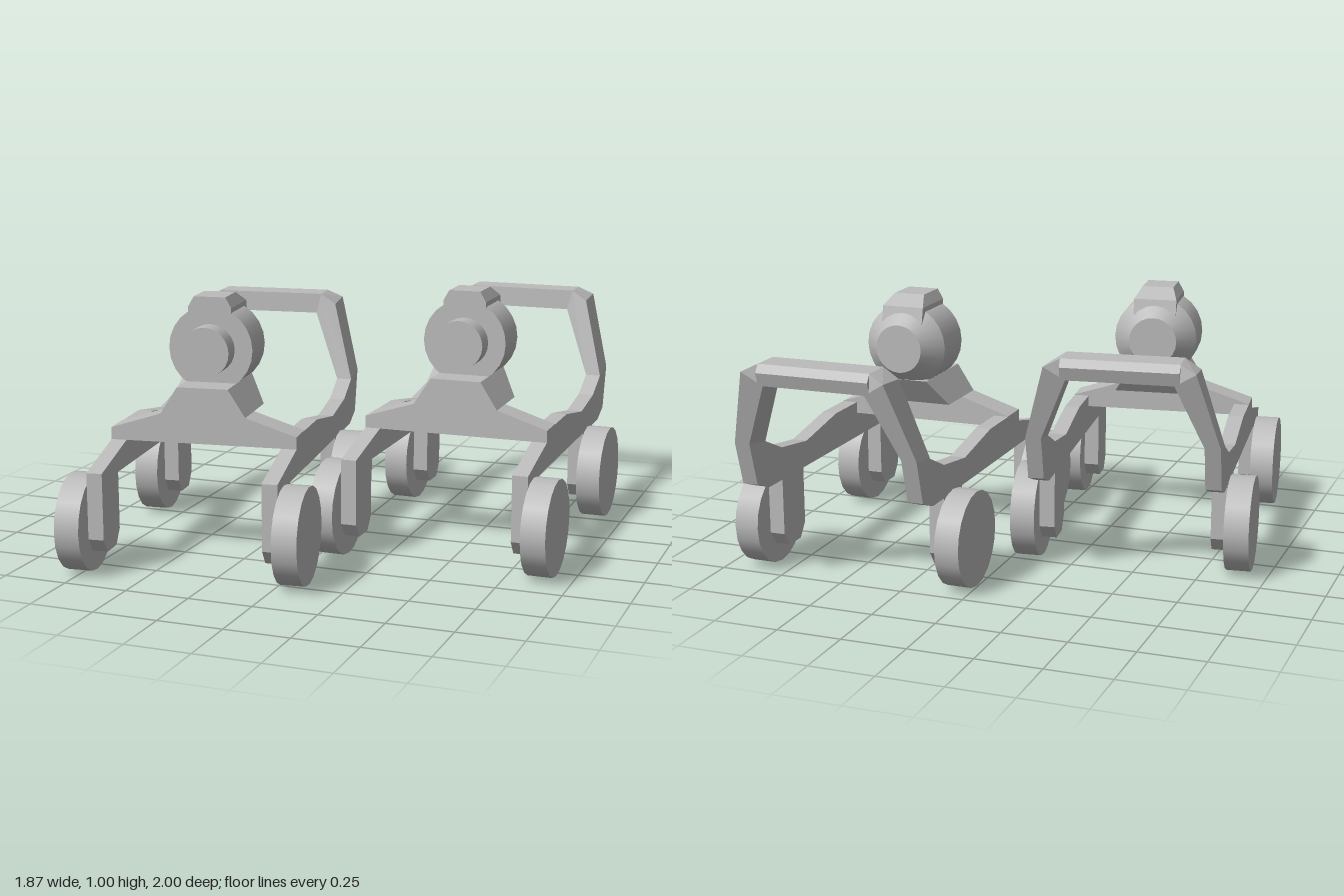
import * as THREE from 'three';
import { ConvexGeometry } from 'three/addons/geometries/ConvexGeometry.js';

const grey = new THREE.MeshStandardMaterial({ color: 0xbbbbbb });
grey.name = 'plain grey';

function add(parent, name, geometry) {
  const mesh = new THREE.Mesh(geometry, grey);
  mesh.name = name;
  parent.add(mesh);
  return mesh;
}

function extrude(points, depth) {
  const shape = new THREE.Shape(points.map(p => new THREE.Vector2(p[0], p[1])));
  return new THREE.ExtrudeGeometry(shape, { depth, bevelEnabled: false });
}

const hull = points => new ConvexGeometry(points.map(p => new THREE.Vector3(...p)));

// Round part along z, between two depths and radii
function barrel(zBack, zFront, rBack, rFront) {
  return new THREE.CylinderGeometry(rFront, rBack, zFront - zBack, 24)
    .rotateX(Math.PI / 2).translate(0, 0.805, (zBack + zFront) / 2);
}

// Side outline as [z, y]: rail, hanging wheel legs and start of the rear upright
const railOutline = [
  [0.37, 0.395], [0.10, 0.46], [0.10, 0.505], [-0.21, 0.505], [-0.47, 0.46],
  [-0.67, 0.487], [-0.795, 0.545], [-0.915, 0.565], [-0.866, 0.395], [-0.775, 0.36],
  [-0.675, 0.36], [-0.675, 0.14], [-0.635, 0.085], [-0.545, 0.085], [-0.505, 0.14],
  [-0.505, 0.36], [0.20, 0.36], [0.20, 0.14], [0.24, 0.085], [0.33, 0.085], [0.37, 0.14],
];

function buildCart(name) {
  const cart = new THREE.Group();
  cart.name = name;

  for (const [side, s] of [['left', 1], ['right', -1]]) {
    // Rail with legs
    add(cart, side + 'Rail', extrude(railOutline, 0.06)
      .rotateY(-Math.PI / 2).translate(s > 0 ? 0.365 : -0.305, 0, 0));

    // Upright leaning back and inward
    const upright = [];
    for (const x of [0.305, 0.365]) upright.push([s * x, 0.545, -0.795], [s * x, 0.565, -0.915]);
    upright.push(
      [s * 0.20, 0.81, -0.86], [s * 0.20, 0.81, -0.985],
      [s * 0.28, 0.85, -0.865], [s * 0.28, 0.86, -1.0],
      [s * 0.22, 0.89, -0.865], [s * 0.22, 0.89, -0.98]);
    add(cart, side + 'Upright', hull(upright));

    // Wheels
    for (const [end, z] of [['Front', 0.285], ['Rear', -0.59]]) {
      add(cart, side + end + 'Wheel', new THREE.CylinderGeometry(0.185, 0.185, 0.095, 20)
        .rotateZ(Math.PI / 2).translate(s * 0.4125, 0.186, z));
    }
  }

  // Rear push bar
  const bar = [];
  for (const x of [-0.22, 0.22]) {
    bar.push([x, 0.81, -0.86], [x, 0.81, -0.985], [x, 0.86, -1.0], [x, 0.89, -0.98], [x, 0.89, -0.865]);
  }
  add(cart, 'pushBar', hull(bar));

  // Front cross panel rising to the pedestal
  add(cart, 'crossPanel', extrude([
    [-0.365, 0.46], [0.365, 0.46], [0.365, 0.507], [0.167, 0.57], [-0.167, 0.57], [-0.365, 0.507],
  ], 0.12).translate(0, 0, -0.02));

  // Pedestal reaching back under the lamp
  const pedestal = [];
  for (const s of [-1, 1]) {
    pedestal.push([s * 0.167, 0.57, 0.10], [s * 0.167, 0.57, -0.155],
      [s * 0.10, 0.675, 0.10], [s * 0.10, 0.675, -0.225]);
  }
  add(cart, 'pedestal', hull(pedestal));

  // Lamp body, rear taper, nozzle and top fin
  const lamp = new THREE.Group();
  lamp.name = 'lamp';
  cart.add(lamp);
  add(lamp, 'lampBody', barrel(-0.185, -0.015, 0.165, 0.165));
  add(lamp, 'lampBack', barrel(-0.26, -0.185, 0.095, 0.165));
  add(lamp, 'nozzle', barrel(-0.015, 0.065, 0.095, 0.095));
  add(lamp, 'nozzleTip', barrel(0.065, 0.107, 0.052, 0.095));
  const fin = [];
  for (const s of [-1, 1]) {
    fin.push([s * 0.085, 0.93, -0.01], [s * 0.085, 0.965, -0.01], [s * 0.062, 1.005, -0.01],
      [s * 0.062, 1.005, -0.145], [s * 0.085, 0.965, -0.21], [s * 0.085, 0.90, -0.225]);
  }
  add(lamp, 'topFin', hull(fin));
  return cart;
}

export function createModel() {
  const model = new THREE.Group();
  model.name = 'twoCarts';

  const straight = buildCart('straightCart');
  straight.position.x = 0.465;

  const turned = buildCart('turnedCart');
  turned.position.set(-0.393, 0, 0.474);
  turned.rotation.y = 0.127;

  model.add(straight, turned);
  return model;
}
